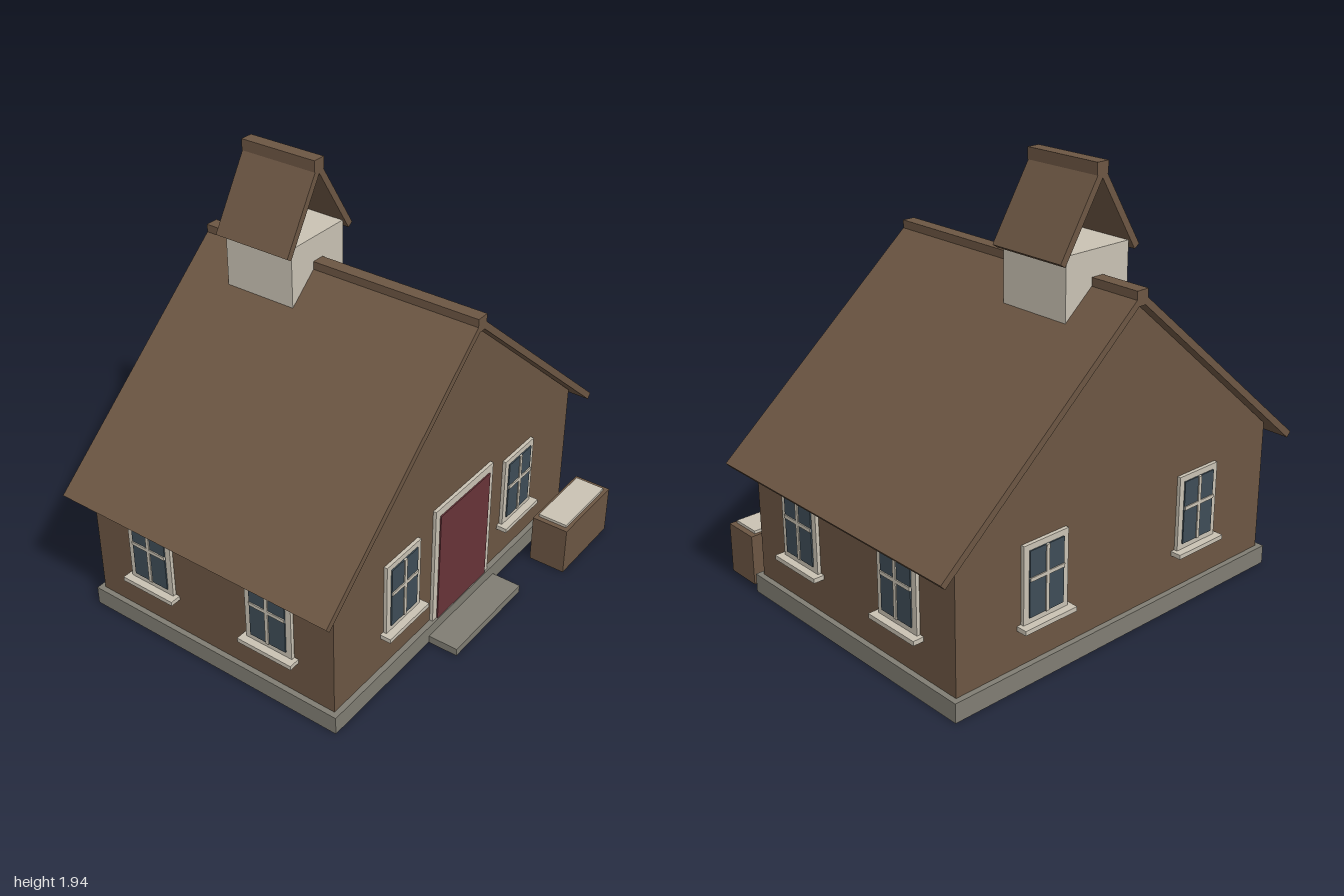
import * as THREE from 'three';

const material = (name, color) => {
  const m = new THREE.MeshStandardMaterial({ color });
  m.name = name;
  return m;
};

export function createModel() {
  const model = new THREE.Group();
  model.name = 'house';
  const brown = material('brown wood', 0x6c5643);
  const cream = material('cream trim', 0xcac3b4);
  const stone = material('grey stone', 0x807d73);
  const glass = material('dark glass', 0x3e4d57);
  const red = material('red door', 0x683338);

  // Box given by its extents along each axis
  const box = (name, mat, [x0, x1], [y0, y1], [z0, z1], parent = model) => {
    const mesh = new THREE.Mesh(new THREE.BoxGeometry(x1 - x0, y1 - y0, z1 - z0), mat);
    mesh.position.set((x0 + x1) / 2, (y0 + y1) / 2, (z0 + z1) / 2);
    mesh.name = name;
    parent.add(mesh);
    return mesh;
  };

  // Profile mirrored in x and extruded along z; points run down the +x half
  const prism = (name, mat, points, z0, z1) => {
    const shape = new THREE.Shape(points.map(([x, y]) => new THREE.Vector2(x, y)));
    const geometry = new THREE.ExtrudeGeometry(shape, { depth: z1 - z0, bevelEnabled: false });
    const mesh = new THREE.Mesh(geometry, mat);
    mesh.position.z = z0;
    mesh.name = name;
    model.add(mesh);
  };

  // Two sloping slabs meeting at a ridge
  const gableRoof = (name, top, eave, lip, under, z0, z1) => prism(name, brown, [
    [0, top], [-eave[0], eave[1]], [-lip[0], lip[1]],
    [0, under], [lip[0], lip[1]], [eave[0], eave[1]],
  ], z0, z1);

  // Base and gabled walls
  box('foundation', stone, [-0.91, 0.91], [0, 0.085], [-0.755, 0.56]);
  prism('walls', brown, [
    [-0.885, 0.08], [0.885, 0.08], [0.885, 0.683], [0, 1.446], [-0.885, 0.683],
  ], -0.73, 0.535);

  // Main roof
  gableRoof('roof', 1.483, [1, 0.627], [0.98, 0.604], 1.445, -0.79, 0.59);
  box('ridgeCap', brown, [-0.03, 0.03], [1.43, 1.493], [-0.79, 0.59]);

  // Small tower with an open gable
  box('tower', cream, [-0.17, 0.17], [1.25, 1.603], [-0.555, -0.21]);
  gableRoof('towerRoof', 1.933, [0.215, 1.582], [0.19, 1.566], 1.877, -0.57, -0.195);
  box('towerRidgeCap', brown, [-0.03, 0.03], [1.89, 1.94], [-0.57, -0.195]);

  // Door, its frame and the step
  box('doorFrame', cream, [-0.217, 0.217], [0.085, 0.667], [0.53, 0.55]);
  box('door', red, [-0.187, 0.187], [0.085, 0.63], [0.545, 0.556]);
  box('doorStep', stone, [-0.255, 0.255], [0, 0.035], [0.555, 0.7]);

  // Window facing +z with its wall plane at z = 0
  const addWindow = (x, z, turn) => {
    const w = new THREE.Group();
    w.name = 'window';
    box('windowFrame', cream, [-0.117, 0.117], [0.262, 0.604], [-0.005, 0.016], w);
    box('windowGlass', glass, [-0.09, 0.09], [0.292, 0.578], [0.014, 0.022], w);
    box('verticalBar', cream, [-0.008, 0.008], [0.292, 0.578], [0.018, 0.027], w);
    box('horizontalBar', cream, [-0.09, 0.09], [0.449, 0.465], [0.018, 0.027], w);
    box('windowSill', cream, [-0.137, 0.137], [0.246, 0.266], [-0.005, 0.05], w);
    w.position.set(x, 0, z);
    w.rotation.y = turn;
    model.add(w);
  };
  for (const s of [-1, 1]) {
    addWindow(s * 0.441, 0.535, 0);
    addWindow(s * 0.441, -0.73, Math.PI);
    for (const z of [0.221, -0.411]) addWindow(s * 0.885, z, s * Math.PI / 2);
  }

  // Chest beside the entrance
  box('chest', brown, [0.488, 0.885], [0, 0.232], [0.617, 0.79]);
  box('chestTop', cream, [0.512, 0.858], [0.225, 0.245], [0.633, 0.773]);

  return model;
}
